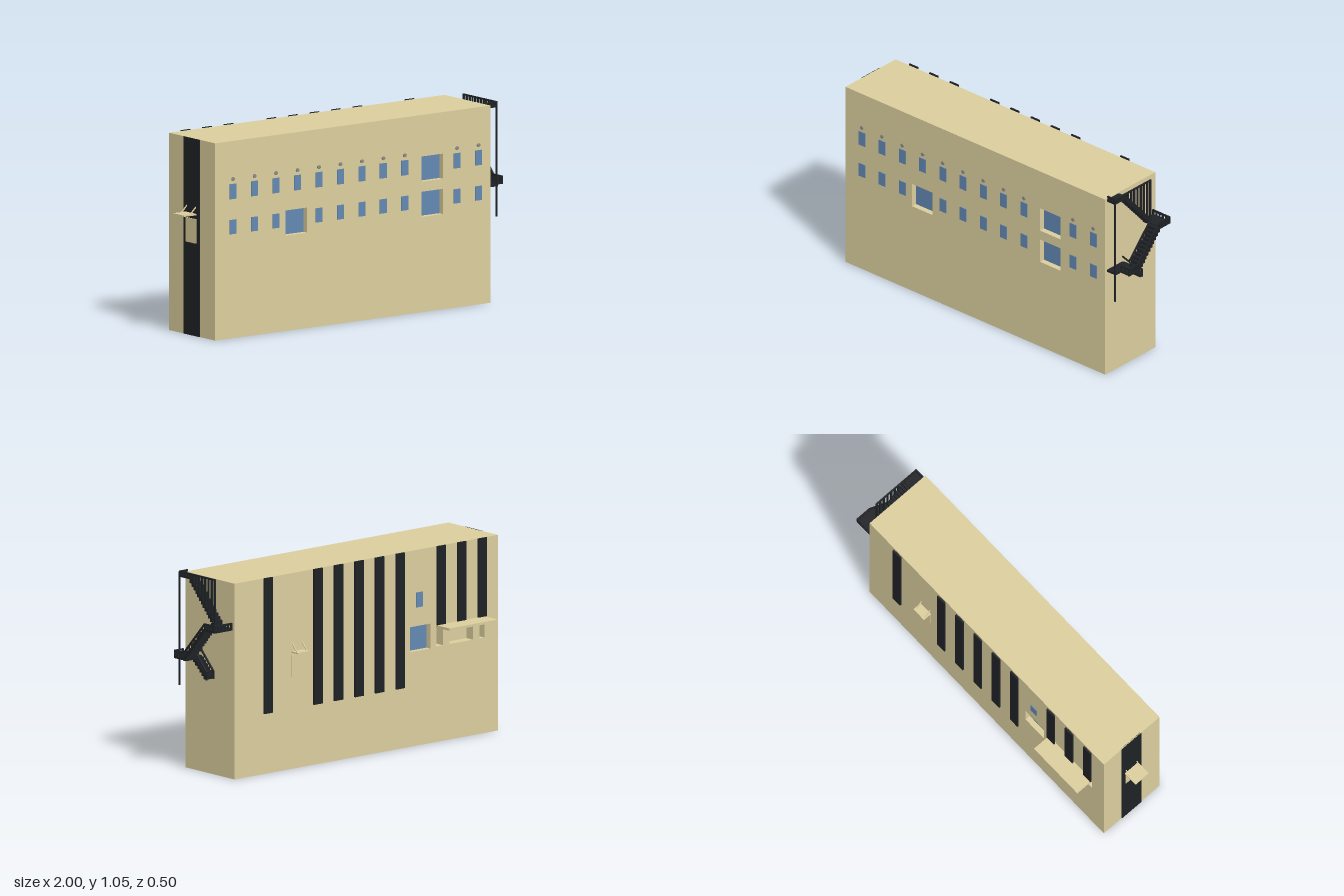
import * as THREE from 'three';

const mat = (color) => new THREE.MeshStandardMaterial({ color });
const wall = mat(0xdccf9e), glass = mat(0x6389b3), iron = mat(0x1f2226), ventGrey = mat(0x8d8c84);

// Box given by its limits on each axis
function box(parent, name, material, x0, x1, y0, y1, z0, z1) {
  const mesh = new THREE.Mesh(new THREE.BoxGeometry(x1 - x0, y1 - y0, z1 - z0), material);
  mesh.position.set((x0 + x1) / 2, (y0 + y1) / 2, (z0 + z1) / 2);
  mesh.name = name;
  parent.add(mesh);
  return mesh;
}

// Square bar between two points
function bar(parent, name, material, a, b, t) {
  const A = new THREE.Vector3(...a), B = new THREE.Vector3(...b);
  const mesh = new THREE.Mesh(new THREE.BoxGeometry(t, t, A.distanceTo(B)), material);
  mesh.position.copy(A).add(B).multiplyScalar(0.5);
  mesh.lookAt(B);
  mesh.name = name;
  parent.add(mesh);
}

// Facade slab with rectangular openings [x0, x1, y0, y1]
function facade(parent, name, openings, z, depth) {
  const rect = (P, x0, x1, y0, y1) => {
    const p = new P();
    p.moveTo(x0, y0); p.lineTo(x1, y0); p.lineTo(x1, y1); p.lineTo(x0, y1); p.closePath();
    return p;
  };
  const shape = rect(THREE.Shape, -0.915, 0.88, 0, 1.035);
  openings.forEach((o) => shape.holes.push(rect(THREE.Path, ...o)));
  const mesh = new THREE.Mesh(new THREE.ExtrudeGeometry(shape, { depth, bevelEnabled: false }), wall);
  mesh.position.z = z;
  mesh.name = name;
  parent.add(mesh);
}

function buildFireEscape() {
  const g = new THREE.Group();
  g.name = 'fireEscape';
  const IN = [0.88, 0.935], OUT = [0.935, 1.0];

  // Stepped flight from (z0,y0) down to (z1,y1); y is the tread top
  const flight = (name, [x0, x1], z0, y0, z1, y1, n) => {
    const dz = (z1 - z0) / n, dy = (y1 - y0) / n;
    for (let i = 0; i < n; i++) {
      const a = z0 + i * dz, b = a + dz * 1.25, y = y0 + (i + 0.5) * dy;
      box(g, name, iron, x0, x1, y - 0.024, y, Math.min(a, b), Math.max(a, b));
    }
  };
  // Railed landing: floor, top rails and evenly spaced posts on the given sides
  const landing = (name, x0, x1, z0, z1, y0, y1, railZ0, railZ1, xs, posts) => {
    box(g, name, iron, x0, x1, y0, y0 + 0.012, z0, z1);
    xs.forEach((x) => {
      box(g, name + 'Rail', iron, x - 0.004, x + 0.004, y1 - 0.008, y1, railZ0, railZ1);
      for (let i = 0; i < posts; i++) {
        const z = railZ0 + 0.004 + ((railZ1 - railZ0 - 0.008) * i) / (posts - 1);
        box(g, name + 'Post', iron, x - 0.004, x + 0.004, y0, y1, z - 0.004, z + 0.004);
      }
    });
  };

  // Top landing and upper flight with long balusters
  landing('topLanding', ...IN, 0.14, 0.23, 1.018, 1.05, 0.14, 0.23, [0.931], 5);
  box(g, 'topEndRail', iron, ...IN, 1.042, 1.05, 0.222, 0.23);
  for (const x of [0.888, 0.906, 0.925]) box(g, 'topEndPost', iron, x - 0.003, x + 0.003, 1.018, 1.05, 0.222, 0.23);
  flight('upperStep', IN, 0.145, 1.03, -0.045, 0.82, 13);
  box(g, 'upperRail', iron, 0.927, 0.935, 1.042, 1.05, -0.053, 0.14);
  for (let i = 0; i < 8; i++) {
    const z = 0.125 - i * 0.0248;
    box(g, 'upperBaluster', iron, 0.927, 0.935, 0.82 + ((z + 0.049) / 0.194) * 0.2, 1.05, z - 0.005, z + 0.005);
  }

  // Middle landing and flight
  landing('middleLanding', 0.88, 1.0, -0.128, -0.045, 0.785, 0.825, -0.128, -0.045, [0.996], 5);
  box(g, 'middleEndRail', iron, 0.88, 1.0, 0.815, 0.825, -0.128, -0.12);
  for (let i = 0; i < 6; i++) {
    const x = 0.884 + i * 0.022;
    box(g, 'middleEndPost', iron, x - 0.004, x + 0.004, 0.785, 0.825, -0.128, -0.12);
  }
  flight('middleStep', OUT, -0.045, 0.8, 0.115, 0.617, 11);
  for (const x of [0.939, 0.996]) {
    bar(g, 'middleHandrail', iron, [x, 0.823, -0.045], [x, 0.645, 0.118], 0.008);
    for (let i = 1; i < 8; i++) {
      const t = i / 8, z = -0.045 + 0.163 * t, y = 0.823 - 0.178 * t;
      box(g, 'middleBaluster', iron, x - 0.003, x + 0.003, y - 0.035, y, z - 0.003, z + 0.003);
    }
  }

  // Lower landing and flight
  landing('lowerLanding', 0.88, 1.0, 0.11, 0.19, 0.603, 0.647, 0.11, 0.193, [0.996], 5);
  box(g, 'lowerLandingInner', iron, 0.88, 0.94, 0.603, 0.615, 0.18, 0.23);
  box(g, 'lowerEndRail', iron, 0.94, 1.0, 0.639, 0.647, 0.185, 0.193);
  for (const x of [0.944, 0.97, 0.996]) box(g, 'lowerEndPost', iron, x - 0.004, x + 0.004, 0.605, 0.647, 0.185, 0.193);
  flight('lowerStep', IN, 0.118, 0.617, 0.018, 0.525, 6);
  for (const x of [0.884, 0.931]) {
    bar(g, 'lowerHandrail', iron, [x, 0.645, 0.112], [x, 0.546, 0.016], 0.008);
    box(g, 'lowerNewel', iron, x - 0.004, x + 0.004, 0.505, 0.55, 0.012, 0.02);
  }
  // Tall corner pole
  box(g, 'cornerPole', iron, 0.929, 0.937, 0.445, 1.045, 0.223, 0.231);
  return g;
}

export function createModel() {
  const model = new THREE.Group();
  model.name = 'building';
  const bays = [-0.8, -0.66, -0.52, -0.38, -0.24, -0.1, 0.04, 0.18, 0.32, 0.66, 0.8];

  // Main block with recessed openings front and back
  const frontBig = [[-0.455, -0.315, 0.5, 0.632], [0.43, 0.57, 0.5, 0.632], [0.43, 0.57, 0.685, 0.817]];
  const backBig = [-0.455, -0.315, 0.5, 0.632], porch = [-0.825, -0.495, 0.505, 0.605];
  box(model, 'core', wall, -0.915, 0.88, 0, 1.035, -0.095, 0.21);
  facade(model, 'frontWall', frontBig, 0.21, 0.034);
  facade(model, 'backWall', [backBig, porch], -0.145, 0.05);
  for (const o of frontBig) box(model, 'largeWindow', glass, ...o, 0.205, 0.213);
  box(model, 'backLargeWindow', glass, ...backBig, -0.115, -0.094);

  // Small front windows and round vents
  for (const x of bays) {
    box(model, 'upperWindow', glass, x - 0.022, x + 0.022, 0.731, 0.81, 0.24, 0.248);
    if (x !== -0.38) box(model, 'lowerWindow', glass, x - 0.022, x + 0.022, 0.547, 0.622, 0.24, 0.248);
    const vent = new THREE.Mesh(new THREE.CylinderGeometry(0.01, 0.01, 0.01, 16), ventGrey);
    vent.rotation.x = Math.PI / 2;
    vent.position.set(x, 0.836, 0.245);
    vent.name = 'roundVent';
    model.add(vent);
  }
  box(model, 'backSmallWindow', glass, -0.402, -0.358, 0.731, 0.81, -0.149, -0.14);

  // Dark vertical panels on the back, held by brackets
  for (const x of bays) {
    if (x === -0.38 || x === 0.8) continue;
    const bottom = x < -0.5 ? 0.62 : 0.32;
    box(model, 'backPanel', iron, x - 0.029, x + 0.029, bottom, 1.037, -0.16, -0.151);
    for (let y = 1.015; y > bottom; y -= 0.166)
      box(model, 'panelBracket', iron, x - 0.018, x + 0.018, y - 0.003, y + 0.003, -0.152, -0.144);
  }

  // Back porch pillars and canopy
  for (const [a, b] of [[-0.585, -0.54], [-0.79, -0.745]])
    box(model, 'porchPillar', wall, a, b, 0.505, 0.605, -0.145, -0.094);
  box(model, 'porchCanopy', wall, -0.825, -0.495, 0.605, 0.618, -0.25, -0.14);

  // Back door with small hung awning
  box(model, 'backDoor', wall, 0.41, 0.49, 0.487, 0.6, -0.148, -0.14);
  box(model, 'backAwning', wall, 0.41, 0.49, 0.614, 0.621, -0.195, -0.14);
  for (const x of [0.417, 0.483])
    bar(model, 'backAwningStay', wall, [x, 0.66, -0.144], [x, 0.618, -0.183], 0.005);

  // Left side dark strip, door and awning on the -x end
  box(model, 'endStrip', iron, -0.918, -0.91, 0, 1.035, -0.02, 0.115);
  box(model, 'endDoor', wall, -0.922, -0.91, 0.487, 0.615, 0.003, 0.09);
  box(model, 'endAwning', wall, -1.0, -0.91, 0.636, 0.643, -0.001, 0.091);
  for (const z of [0.008, 0.082])
    bar(model, 'endAwningStay', wall, [-0.914, 0.68, z], [-0.955, 0.64, z], 0.005);

  model.add(buildFireEscape());
  return model;
}
